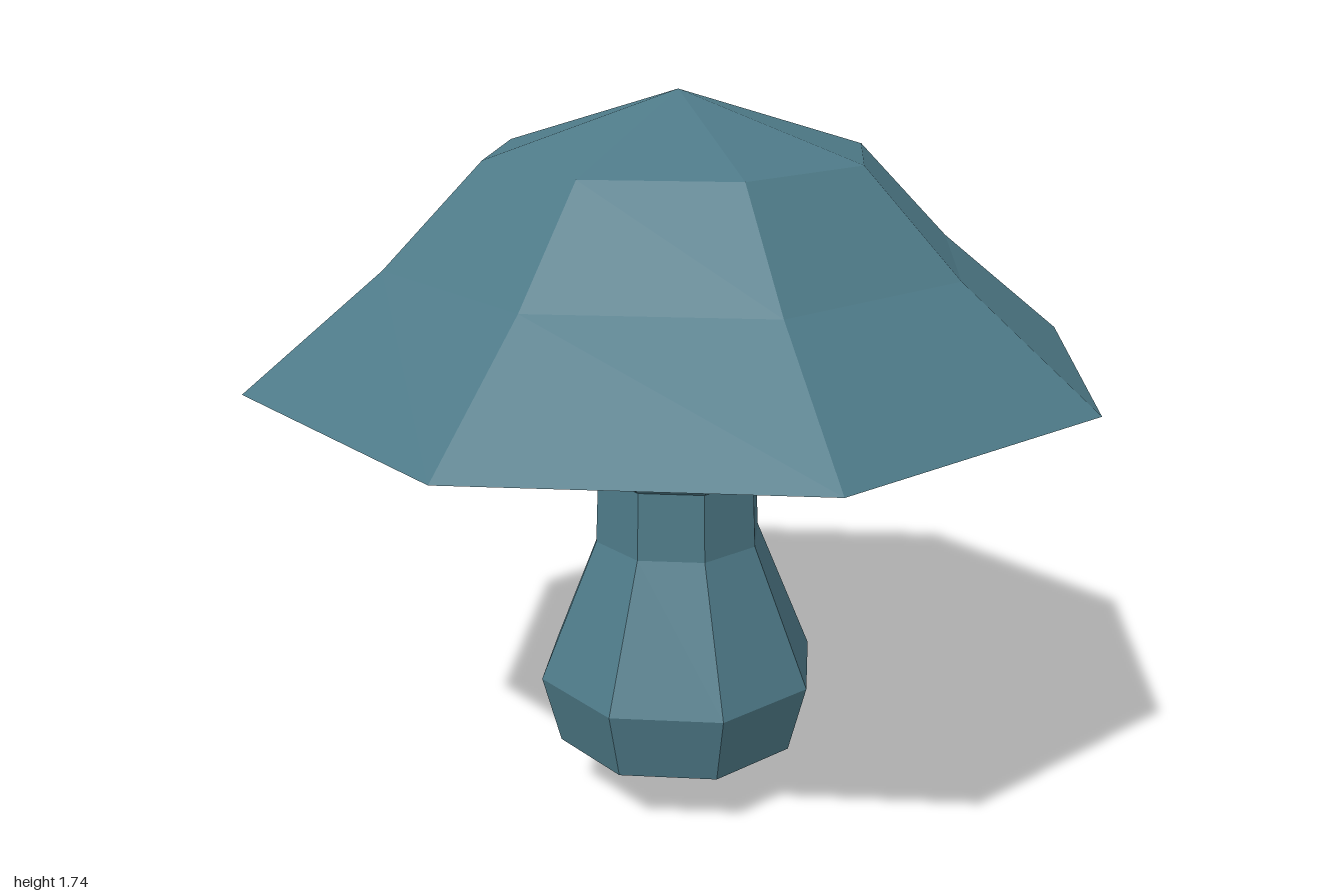
import * as THREE from 'three';

const SIDES = 8;

// Eight-sided turned part; the profile runs from bottom to top as [radius, height]
function turned(name, profile, material, flat) {
  const points = profile.map(([r, y]) => new THREE.Vector2(r, y));
  let geometry = new THREE.LatheGeometry(points, SIDES);
  if (flat) {
    geometry = geometry.toNonIndexed();
    geometry.computeVertexNormals();
  }
  const mesh = new THREE.Mesh(geometry, material);
  mesh.name = name;
  return mesh;
}

export function createModel() {
  const group = new THREE.Group();
  group.name = 'mushroom';

  const teal = new THREE.MeshStandardMaterial({ color: 0x4e7a88 });
  teal.name = 'dusty teal';

  // Faceted stem with a bulb and a pointed base
  group.add(turned('stem', [[0, 0], [0.305, 0.157], [0.35, 0.33], [0.207, 0.675], [0.2, 0.845]], teal, true));

  // Smooth underside flaring out to the rim
  group.add(turned('capUnderside', [[0.2, 0.84], [0.41, 0.975], [1, 1.115]], teal, false));

  // Faceted cap top
  group.add(turned('capTop', [[1, 1.115], [0.68, 1.37], [0.45, 1.6], [0, 1.74]], teal, true));

  return group;
}
